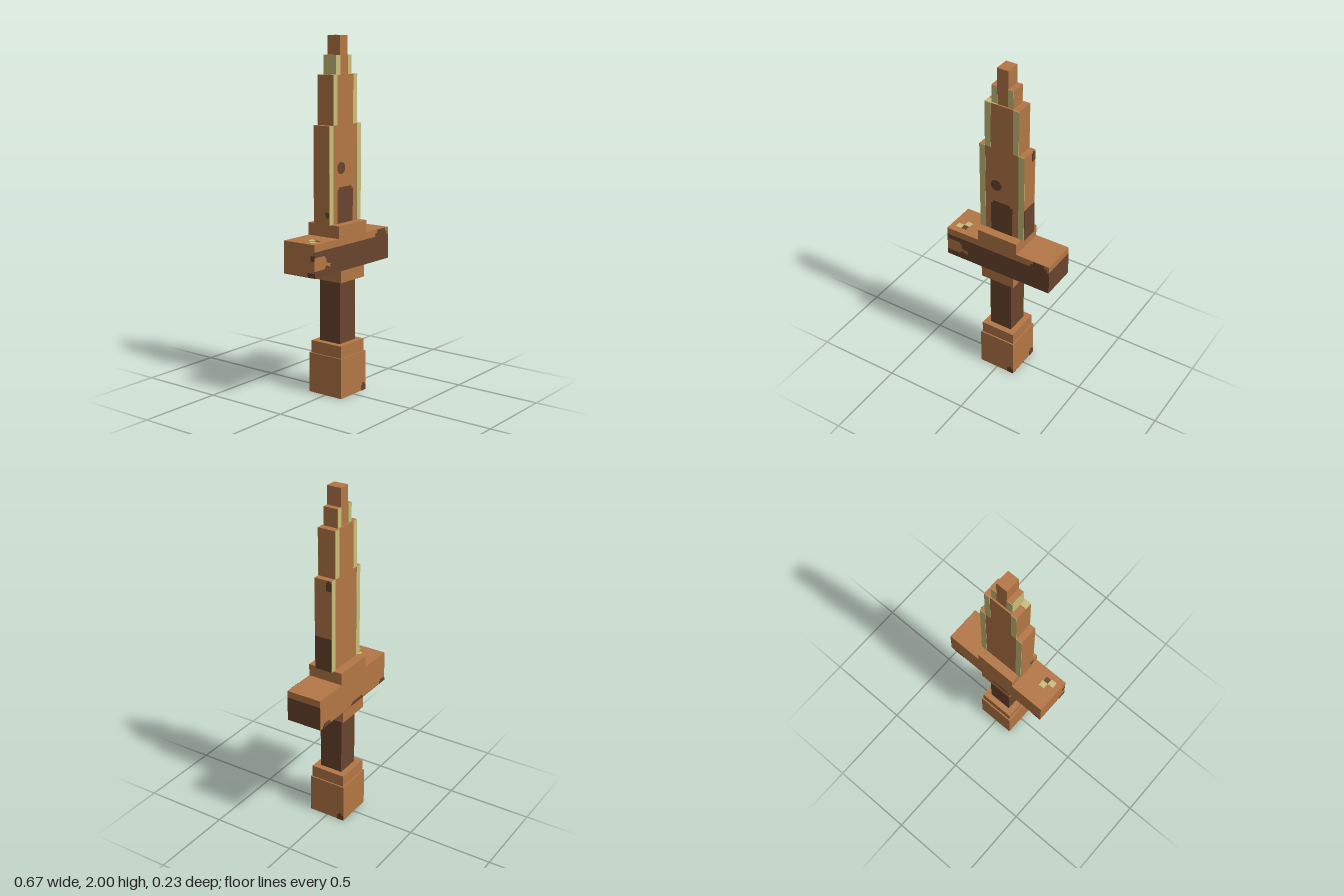
import * as THREE from 'three';

const material = (name, color) => {
  const m = new THREE.MeshStandardMaterial({ color });
  m.name = name;
  return m;
};

export function createModel() {
  const copper = material('copper', 0xb47746);
  const dark = material('dark brown', 0x69452e);
  const straw = material('pale straw', 0xc9bf7a);

  const sword = new THREE.Group();
  sword.name = 'sword';

  // Solid block given by its x, y and z ranges
  function block(name, mat, [x0, x1], [y0, y1], [z0, z1]) {
    const mesh = new THREE.Mesh(new THREE.BoxGeometry(x1 - x0, y1 - y0, z1 - z0), mat);
    mesh.position.set((x0 + x1) / 2, (y0 + y1) / 2, (z0 + z1) / 2);
    mesh.name = name;
    sword.add(mesh);
  }

  // Thin painted plate; points are (across, up) as seen when looking at the face
  const THICK = 0.002;
  const turns = {
    front: [0, 0], back: [0, Math.PI], right: [0, Math.PI / 2], left: [0, -Math.PI / 2],
    top: [-Math.PI / 2, 0], bottom: [Math.PI / 2, 0],
  };
  function paint(name, mat, face, distance, points) {
    const shape = new THREE.Shape(points.map(([u, v]) => new THREE.Vector2(u, v)));
    const geo = new THREE.ExtrudeGeometry(shape, { depth: THICK, bevelEnabled: false });
    geo.translate(0, 0, distance);
    geo.rotateX(turns[face][0]).rotateY(turns[face][1]);
    const mesh = new THREE.Mesh(geo, mat);
    mesh.name = name;
    sword.add(mesh);
  }
  const rect = (u0, u1, v0, v1) => [[u0, v0], [u1, v0], [u1, v1], [u0, v1]];
  const chipped = (u0, u1, v0, v1, c) => [
    [u0, v0], [u1, v0], [u1, v1 - c], [u1 - c, v1 - c], [u1 - c, v1],
    [u0 + c, v1], [u0 + c, v1 - c], [u0, v1 - c],
  ];

  // Pommel, grip and collars
  const both = (r) => [-r, r];
  block('pommel', copper, both(0.113), [0, 0.23], both(0.113));
  block('pommelCollar', copper, both(0.105), [0.23, 0.3], both(0.105));
  block('grip', dark, both(0.07), [0.3, 0.66], both(0.07));
  block('gripCollar', copper, both(0.105), [0.66, 0.73], both(0.105));
  paint('pommelStain', dark, 'front', 0.113, chipped(0.07, 0.113, 0, 0.045, 0.012));
  paint('pommelStain', dark, 'right', 0.113, chipped(0.07, 0.113, 0, 0.045, 0.012));
  paint('pommelStain', dark, 'bottom', 0.111, []
    .concat(rect(0.07, 0.113, -0.113, 0.113)).map(([u, v]) => [u, v]));
  sword.children.at(-1).position.y = 0.113; // lies flush with the ground

  // Crossguard
  block('crossguard', copper, both(0.335), [0.73, 0.91], both(0.106));
  block('guardBlock', copper, both(0.125), [0.91, 0.98], both(0.106));
  paint('guardUnderside', dark, 'bottom', -0.73, rect(-0.335, 0.335, -0.106, 0.106));
  paint('guardEndPanel', dark, 'right', 0.335, rect(-0.106, 0.106, 0.73, 0.87));
  paint('guardFrontPanel', dark, 'front', 0.106, [
    [-0.335, 0.73], [0.335, 0.73], [0.335, 0.87], [0.32, 0.87], [0.32, 0.89], [0.305, 0.89],
    [0.305, 0.91], [0.235, 0.91], [0.235, 0.89], [0.215, 0.89], [0.215, 0.87],
    [-0.335, 0.87], [-0.335, 0.84], [-0.25, 0.84], [-0.235, 0.82], [-0.235, 0.8],
    [-0.195, 0.79], [-0.2, 0.77], [-0.235, 0.785], [-0.25, 0.765], [-0.335, 0.765],
  ]);
  for (const [u0, u1, h] of [[-0.31, -0.24, 0.025], [-0.02, 0.1, 0.02], [0.28, 0.335, 0.025]]) {
    paint('guardBackStain', dark, 'back', 0.106, chipped(u0, u1, 0.73, 0.73 + h, 0.01));
  }
  paint('guardEndStain', dark, 'left', 0.335, rect(0.06, 0.106, 0.73, 0.755));
  paint('guardEndStain', dark, 'left', 0.335, rect(0.08, 0.106, 0.82, 0.85));
  paint('guardTopMark', straw, 'top', 0.91, rect(-0.265, -0.23, -0.035, 0));
  paint('guardTopMark', straw, 'top', 0.91, rect(-0.302, -0.265, -0.07, -0.035));
  paint('guardTopStain', dark, 'top', 0.91, rect(-0.265, -0.235, -0.065, -0.035));

  // Stepped blade with pale cutting edges on front and back
  const tiers = [
    { w: 0.141, y: [0.98, 1.52], d: 0.053, edge: 0.105 },
    { w: 0.105, y: [1.52, 1.79], d: 0.053, edge: 0.069 },
    { w: 0.066, y: [1.79, 1.895], d: 0.043, edge: 0.033 },
    { w: 0.034, y: [1.895, 2], d: 0.043 },
  ];
  for (const { w, y, d, edge } of tiers) {
    block('bladeTier', copper, both(w), y, both(d));
    if (!edge) continue;
    for (const face of ['front', 'back']) {
      paint('bladeEdge', straw, face, d, rect(-w, -edge, ...y));
      paint('bladeEdge', straw, face, d, rect(edge, w, ...y));
    }
  }
  paint('tipSideEdge', straw, 'left', 0.066, rect(-0.043, 0.043, 1.79, 1.895));
  paint('bladeTopMark', straw, 'top', 1.79, rect(-0.105, -0.035, -0.053, -0.016));

  // Dark wear on the blade
  paint('bladeBasePanel', dark, 'front', 0.053, chipped(-0.07, 0.067, 0.98, 1.18, 0.014));
  paint('bladeSidePanel', dark, 'right', 0.141, rect(-0.053, 0.053, 0.98, 1.18));
  paint('bladeSideStain', dark, 'right', 0.141, chipped(0.02, 0.053, 1.46, 1.52, 0.01));
  paint('bladeSideStain', dark, 'left', 0.141, rect(0.03, 0.053, 1.02, 1.05));
  const spot = Array.from({ length: 12 }, (_, i) => {
    const a = (i + 0.5) * Math.PI / 6;
    return [-0.036 + 0.035 * Math.cos(a), 1.285 + 0.034 * Math.sin(a)];
  });
  paint('bladeSpot', dark, 'front', 0.053, spot);

  return sword;
}
